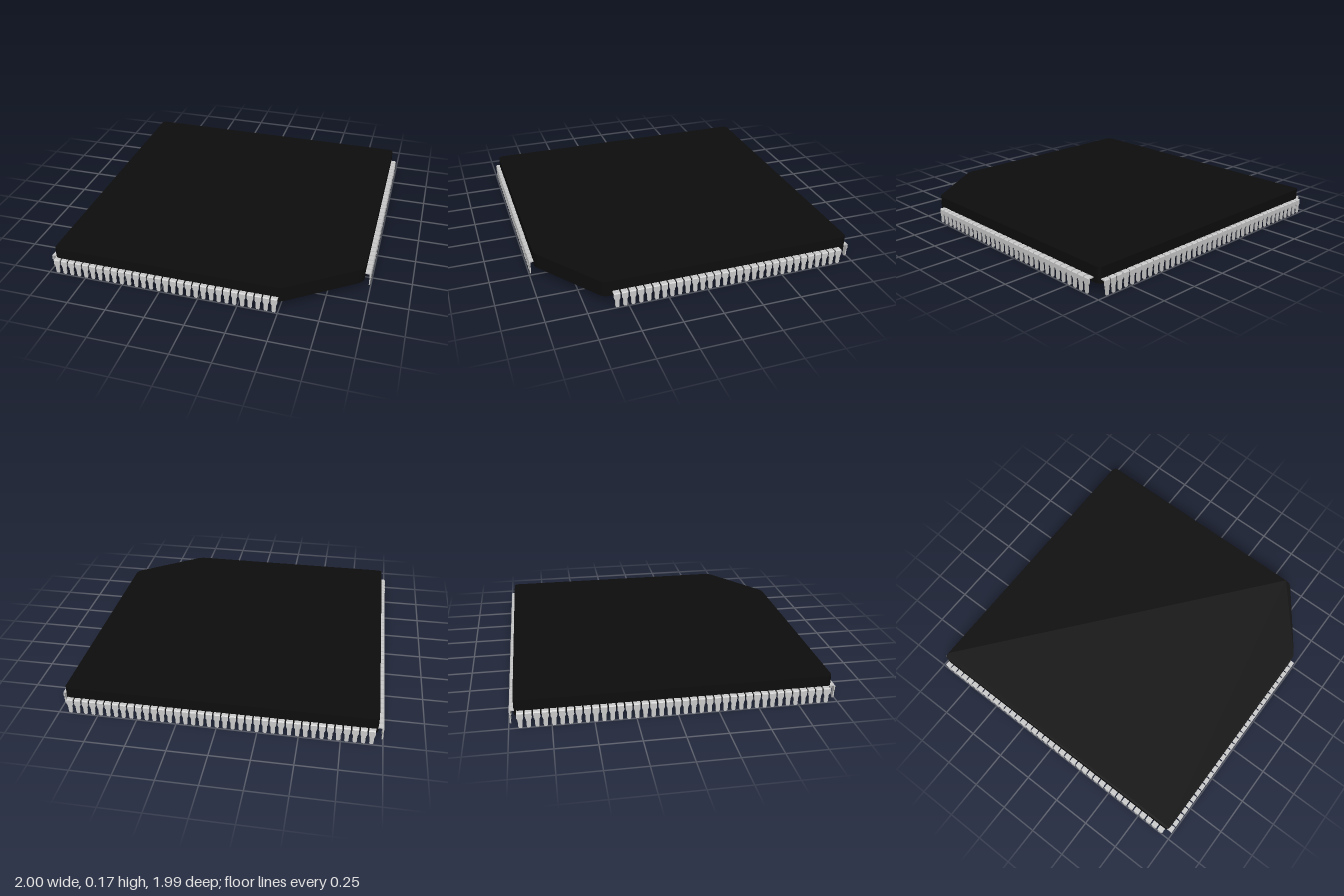
import * as THREE from 'three';

const black = new THREE.MeshStandardMaterial({ color: 0x0d0d0d });
const grey = new THREE.MeshStandardMaterial({ color: 0xcccccc });

// Closed outline whose corners are eased over distance r
function roundedOutline(corners, r) {
  const pts = corners.map(([x, y]) => new THREE.Vector2(x, y));
  const shape = new THREE.Shape();
  pts.forEach((p, i) => {
    const prev = pts[(i + pts.length - 1) % pts.length];
    const next = pts[(i + 1) % pts.length];
    const a = p.clone().add(prev.clone().sub(p).setLength(r));
    const b = p.clone().add(next.clone().sub(p).setLength(r));
    if (i === 0) shape.moveTo(a.x, a.y);
    else shape.lineTo(a.x, a.y);
    shape.quadraticCurveTo(p.x, p.y, b.x, b.y);
  });
  shape.closePath();
  return shape;
}

// Bent, tapering lead; its outer face lies at z = 0 and it points down
function makePinGeometry() {
  // [outer z, outer y, inner z, inner y, half width]
  const sections = [
    [-0.045, 0.097, -0.045, 0.089, 0.02],
    [-0.006, 0.097, -0.010, 0.089, 0.02],
    [0, 0.091, -0.008, 0.087, 0.02],
    [0, 0.064, -0.008, 0.064, 0.02],
    [0, 0.050, -0.008, 0.050, 0.0135],
    [0, 0.008, -0.008, 0.008, 0.0125],
    [0, 0, -0.008, 0, 0.008],
  ];
  const positions = [];
  const index = [];
  sections.forEach(([oz, oy, iz, iy, w], i) => {
    positions.push(-w, oy, oz, w, oy, oz, w, iy, iz, -w, iy, iz);
    if (i === 0) return;
    const a = (i - 1) * 4;
    const b = i * 4;
    for (let k = 0; k < 4; k++) {
      const n = (k + 1) % 4;
      index.push(a + k, b + k, b + n, a + k, b + n, a + n);
    }
  });
  const e = (sections.length - 1) * 4;
  index.push(e, e + 3, e + 2, e, e + 2, e + 1);
  const indexed = new THREE.BufferGeometry();
  indexed.setAttribute('position', new THREE.Float32BufferAttribute(positions, 3));
  indexed.setIndex(index);
  const geometry = indexed.toNonIndexed();
  geometry.computeVertexNormals();
  return geometry;
}

export function createModel() {
  const model = new THREE.Group();
  model.name = 'chipPackage';

  // Flat housing with one cut corner at the front left
  const outline = roundedOutline([
    [-0.968, -0.967], [0.51, -0.967], [0.96, -0.64], [0.96, 0.967], [-0.968, 0.967],
  ], 0.035);
  const bodyGeometry = new THREE.ExtrudeGeometry(outline, {
    depth: 0.1, bevelEnabled: false, curveSegments: 6,
  });
  bodyGeometry.rotateX(-Math.PI / 2);
  const body = new THREE.Mesh(bodyGeometry, black);
  body.name = 'housing';
  body.position.y = 0.065;
  model.add(body);

  // Rows of leads along the four edges
  const pinGeometry = makePinGeometry();
  const pitch = 0.0489;
  const rows = [
    { name: 'frontPins', count: 30, angle: 0, start: [-0.943, 0.994], step: [1, 0] },
    { name: 'backPins', count: 39, angle: Math.PI, start: [-0.932, -0.994], step: [1, 0] },
    { name: 'leftPins', count: 31, angle: Math.PI / 2, start: [0.995, -0.898], step: [0, 1] },
    { name: 'rightPins', count: 39, angle: -Math.PI / 2, start: [-1, -0.932], step: [0, 1] },
  ];
  for (const { name, count, angle, start, step } of rows) {
    const row = new THREE.Group();
    row.name = name;
    for (let i = 0; i < count; i++) {
      const pin = new THREE.Mesh(pinGeometry, grey);
      pin.name = 'pin';
      pin.position.set(start[0] + step[0] * pitch * i, 0, start[1] + step[1] * pitch * i);
      pin.rotation.y = angle;
      row.add(pin);
    }
    model.add(row);
  }
  return model;
}
